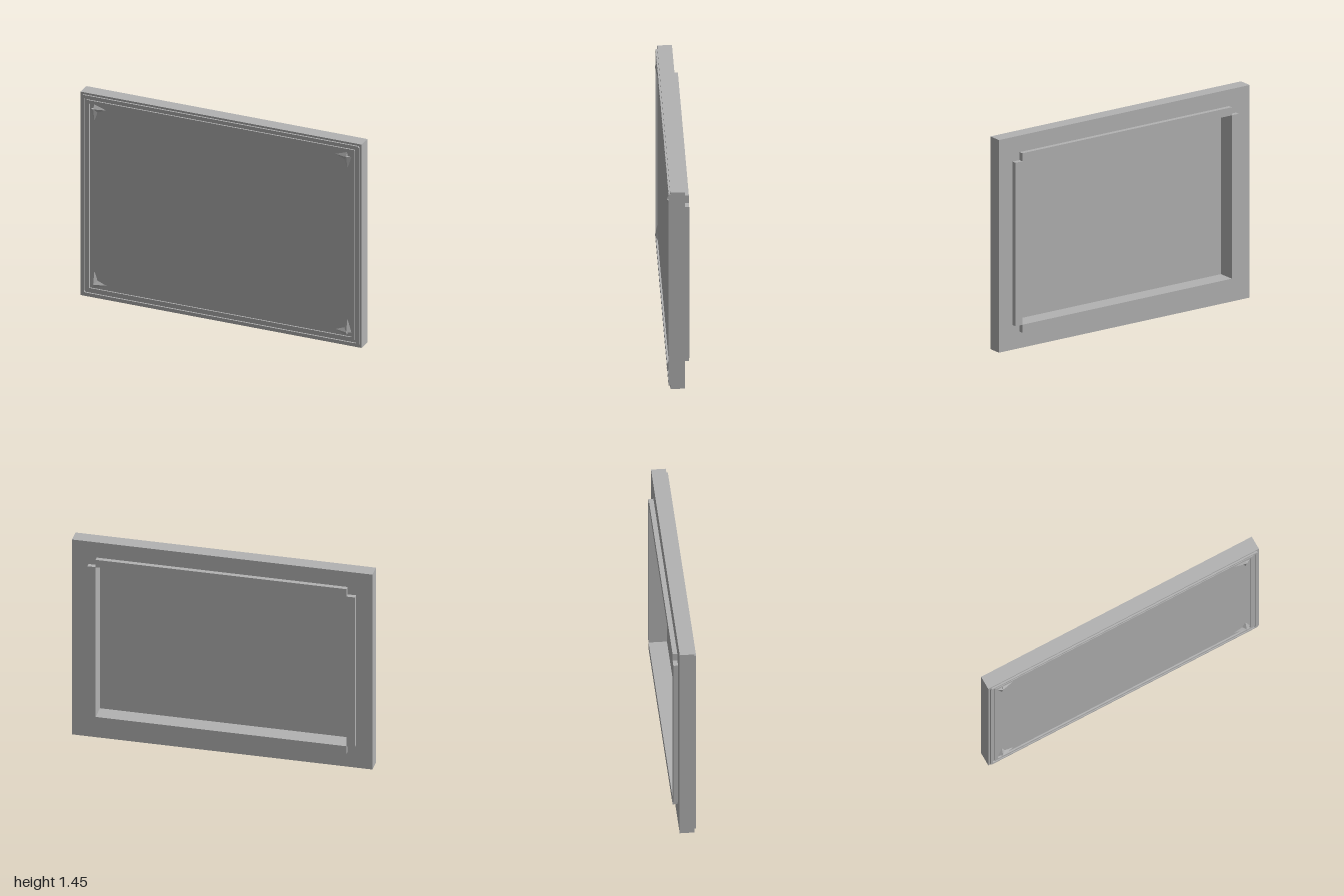
import * as THREE from 'three';

const H = 1.445; // overall height, width is 2

export function createModel() {
  const group = new THREE.Group();
  const grey = new THREE.MeshStandardMaterial({ color: 0xb3b3b3 });
  grey.name = 'plainGrey';

  const add = (name, geometry) => {
    const mesh = new THREE.Mesh(geometry, grey);
    mesh.name = name;
    group.add(mesh);
    return mesh;
  };

  // Rectangle outline with clipped corners, centred on the frame
  const outline = (w, h, c) => {
    const pts = [
      [w - c, -h], [w, -h + c], [w, h - c], [w - c, h],
      [-w + c, h], [-w, h - c], [-w, -h + c], [-w + c, -h],
    ];
    return pts
      .map(([x, y]) => new THREE.Vector2(x, y + H / 2))
      .filter((p, i, a) => i === 0 || p.distanceTo(a[i - 1]) > 1e-6);
  };

  // Rectangular ring extruded from z0 to z1
  const ring = (name, [w, h], [iw, ih], z0, z1, chamfer = 0) => {
    const shape = new THREE.Shape(outline(w, h, chamfer));
    shape.holes.push(new THREE.Path(outline(iw, ih, chamfer).reverse()));
    const g = new THREE.ExtrudeGeometry(shape, { depth: z1 - z0, bevelEnabled: false });
    g.translate(0, 0, z0);
    add(name, g);
  };
  const inset = (d) => [1 - d, H / 2 - d];

  const box = (name, x0, x1, y0, y1, z0, z1) =>
    add(name, new THREE.BoxGeometry(x1 - x0, y1 - y0, z1 - z0)
      .translate((x0 + x1) / 2, (y0 + y1) / 2, (z0 + z1) / 2));

  // Frame body and raised front mouldings
  ring('frameBody', [1, H / 2], [0.835, 0.555], -0.042, 0.054);
  ring('outerMoulding', inset(0.014), inset(0.03), 0.053, 0.065, 0.008);
  ring('innerMoulding', inset(0.045), inset(0.067), 0.053, 0.064, 0.004);

  // Panel closing the opening, flush with the front
  box('panel', -0.835, 0.835, 0.167, 1.278, 0.046, 0.054);

  // Four rails around the opening at the back
  for (const s of [-1, 1]) {
    const x = s * 0.8625;
    const y = H / 2 + s * 0.5825;
    box('sideRail', x - 0.0275, x + 0.0275, 0.167, 1.278, -0.073, -0.042);
    box('crossRail', -0.835, 0.835, y - 0.0275, y + 0.0275, -0.073, -0.042);
  }

  // Corner ornament: three quarters of a pointed star rising to a peak
  const rim = [[-0.03, 0, 0.058], [0, 0.09, 0.054], [0.022, 0.025, 0.054],
    [0.085, 0, 0.054], [0, -0.03, 0.058]];
  const cornerOrnament = (sx, sy) => {
    const place = ([x, y, z]) =>
      [sx * (-0.9 + x), H / 2 + sy * (0.1 - H / 2 + y), z];
    const peak = [0, 0, 0.074];
    const base = [0, 0, 0.054];
    const faces = [];
    for (let i = 0; i < rim.length - 1; i++) faces.push([peak, rim[i + 1], rim[i]]);
    // Walls of the cut-out quarter
    faces.push([peak, rim[0], base], [peak, base, rim[4]]);
    const verts = faces.flatMap((f) => {
      const t = f.map(place);
      return (sx * sy > 0 ? t : t.reverse()).flat();
    });
    const g = new THREE.BufferGeometry();
    g.setAttribute('position', new THREE.Float32BufferAttribute(verts, 3));
    g.computeVertexNormals();
    add('cornerOrnament', g);
  };
  for (const sx of [-1, 1]) for (const sy of [-1, 1]) cornerOrnament(sx, sy);

  return group;
}
